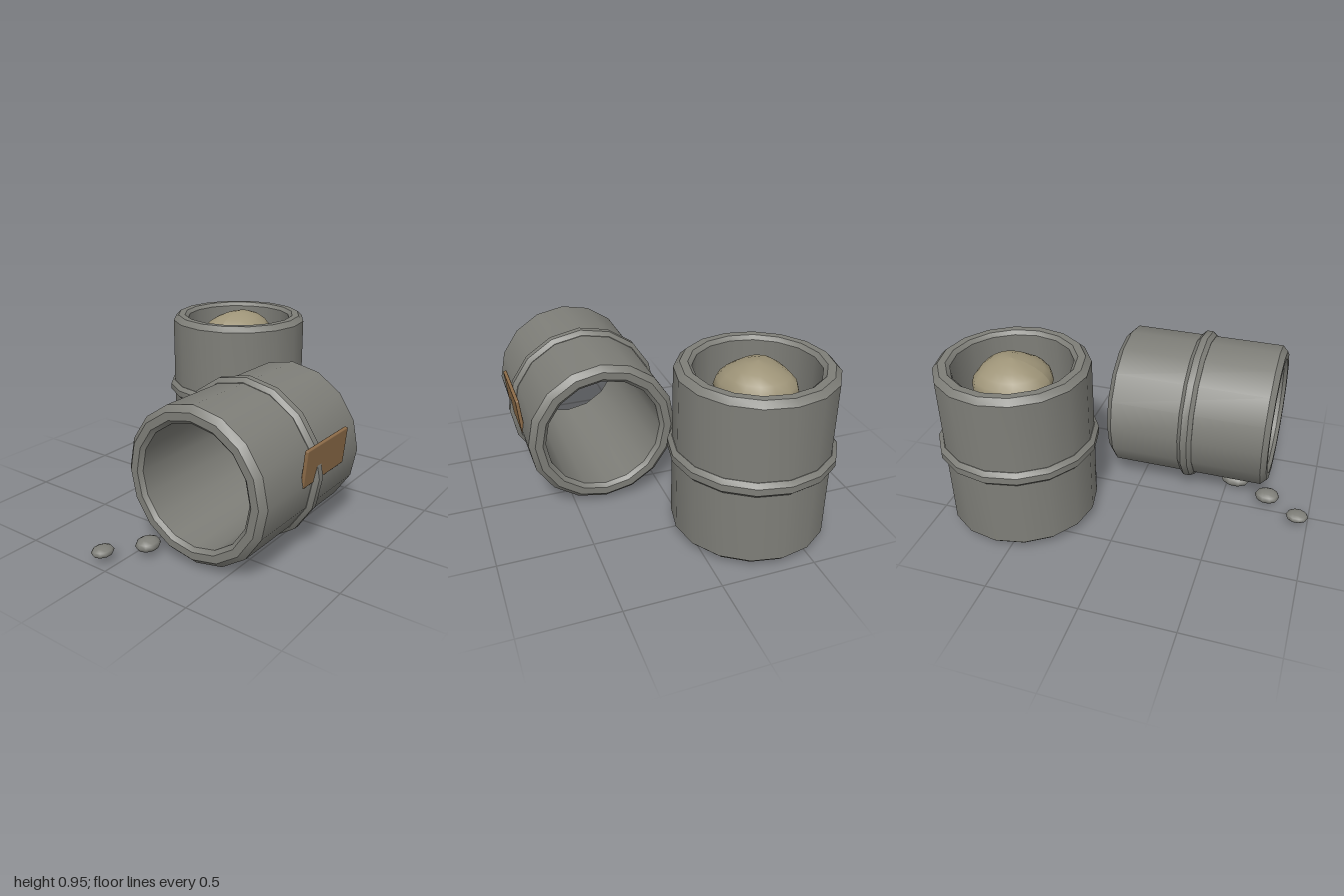
import * as THREE from 'three';
import { toCreasedNormals } from 'three/addons/utils/BufferGeometryUtils.js';
import { RoundedBoxGeometry } from 'three/addons/geometries/RoundedBoxGeometry.js';

const stone = new THREE.MeshStandardMaterial({ name: 'grey stone', color: 0x7e7e78 });
const sand = new THREE.MeshStandardMaterial({ name: 'sandy rock', color: 0x9e9478 });
const wood = new THREE.MeshStandardMaterial({ name: 'brown plate', color: 0x8c6b48 });

function add(parent, name, geometry, material, x = 0, y = 0, z = 0) {
  const mesh = new THREE.Mesh(geometry, material);
  mesh.name = name;
  mesh.position.set(x, y, z);
  parent.add(mesh);
  return mesh;
}

// Sixteen-sided hollow tube with chamfered rims, centred on its own middle
function tube(outer, inner, height, chamfer, innerChamfer) {
  const h = height / 2, c = chamfer, i = innerChamfer;
  const profile = [
    [inner, i - h], [inner + i, -h], [outer - c, -h], [outer, c - h],
    [outer, h - c], [outer - c, h], [inner + i, h], [inner, h - i], [inner, i - h],
  ].map(([r, y]) => new THREE.Vector2(r, y));
  return toCreasedNormals(new THREE.LatheGeometry(profile, 16), 0.6);
}

// Pipe section with a raised band round its waist
function pipe(name) {
  const group = new THREE.Group();
  group.name = name;
  add(group, 'pipeWall', tube(0.405, 0.315, 0.91, 0.03, 0.02), stone);
  add(group, 'pipeBand', tube(0.43, 0.385, 0.08, 0.022, 0.005), stone);
  return group;
}

// Smooth, slightly lumpy rock
function lumpyRock() {
  const g = new THREE.SphereGeometry(1, 16, 10);
  const p = g.attributes.position;
  const v = new THREE.Vector3();
  for (let k = 0; k < p.count; k++) {
    v.fromBufferAttribute(p, k);
    v.multiplyScalar(1 + 0.04 * Math.sin(3 * v.x + 2 * v.z) + 0.04 * Math.cos(4 * v.z - 3 * v.x));
    p.setXYZ(k, v.x * 0.215, v.y * 0.13, v.z * 0.205);
  }
  g.computeVertexNormals();
  return g;
}

export function createModel() {
  const model = new THREE.Group();
  model.name = 'pipes';

  // Standing pipe with a rock in its mouth
  const standing = pipe('standingPipe');
  standing.position.set(0.57, 0.487, -0.33);
  model.add(standing);
  add(model, 'rock', lumpyRock(), sand, 0.565, 0.82, -0.335);

  // Pipe lying on its side
  const lying = pipe('lyingPipe');
  lying.position.set(-0.285, 0.435, 0.33);
  lying.rotation.z = Math.PI / 2;
  model.add(lying);

  // Plate leaning on the band
  const plate = add(model, 'plate', new RoundedBoxGeometry(0.39, 0.195, 0.02, 1, 0.006), wood, -0.22, 0.52, 0.738);
  plate.rotation.x = 0.1;

  // Flat pebbles trailing from under the lying pipe: x, y, z, width and height radii
  [[-0.94, 0.065, -0.07, 0.062, 0.026],
   [-0.755, 0.063, 0.06, 0.07, 0.035],
   [-0.55, 0.053, 0.19, 0.09, 0.04]].forEach(([x, y, z, r, h]) => {
    const pebble = add(model, 'pebble', new THREE.SphereGeometry(1, 10, 6), stone, x, y, z);
    pebble.scale.set(r, h, r * 0.85);
  });

  return model;
}
